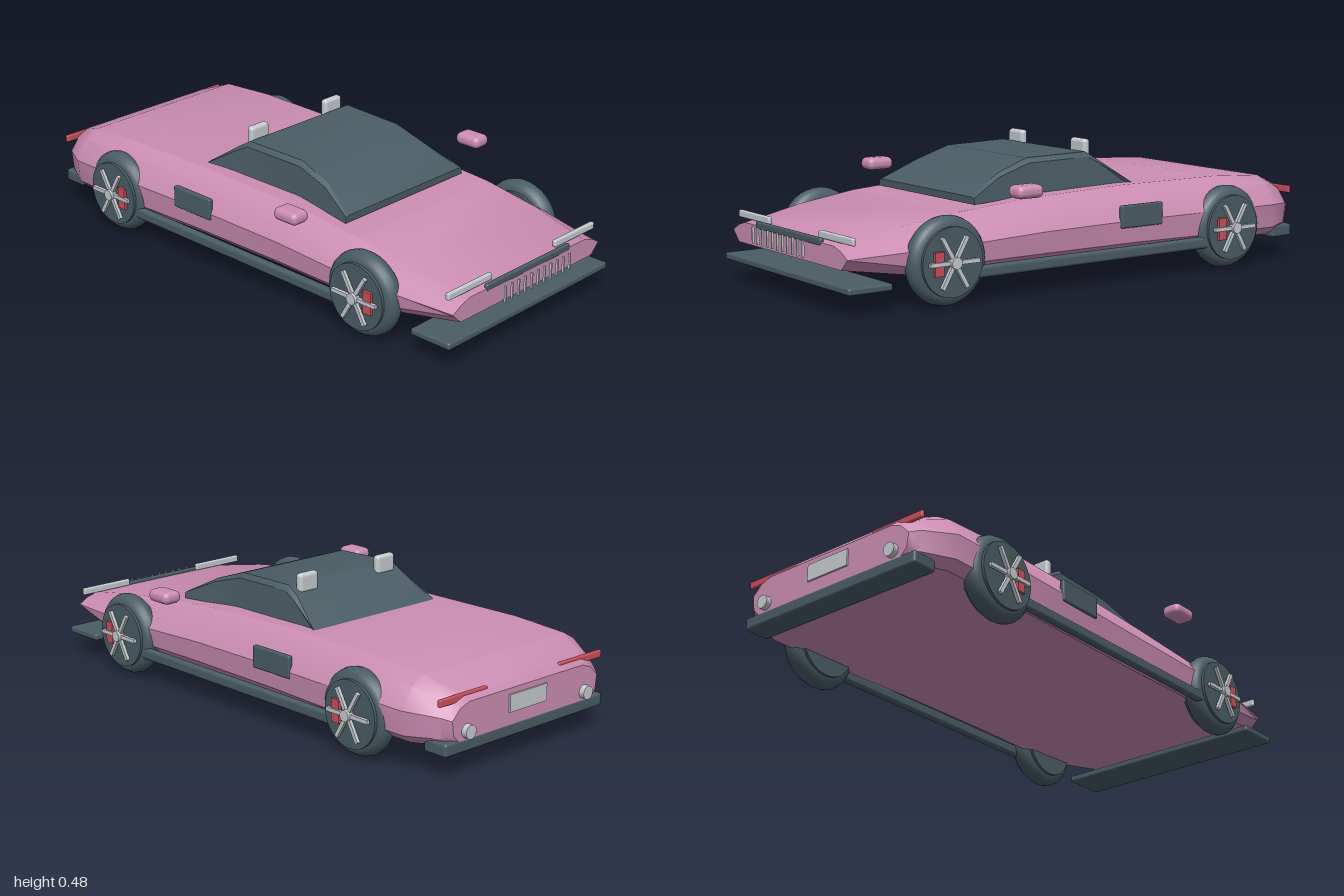
import * as THREE from 'three';
import { toCreasedNormals } from 'three/addons/utils/BufferGeometryUtils.js';
import { RoundedBoxGeometry } from 'three/addons/geometries/RoundedBoxGeometry.js';

const material = (name, color) => {
  const m = new THREE.MeshStandardMaterial({ color });
  m.name = name;
  return m;
};

// Skin a row of closed cross-sections; each section is { x, half: [[z, y], ...] }
// with the half outline running from the bottom edge up to the top edge.
function loft(sections, crease) {
  const pos = [], idx = [];
  const n = sections[0].half.length * 2;
  for (const { x, half } of sections) {
    const loop = [...half, ...half.map(([z, y]) => [-z, y]).reverse()];
    for (const [z, y] of loop) pos.push(x, y, z);
  }
  for (let i = 0; i < sections.length - 1; i++) {
    for (let j = 0; j < n; j++) {
      const a = i * n + j, b = i * n + (j + 1) % n;
      idx.push(a, a + n, b, b, a + n, b + n);
    }
  }
  const end = (sections.length - 1) * n;
  for (let j = 1; j < n - 1; j++) {
    idx.push(0, j, j + 1, end, end + j + 1, end + j);
  }
  const g = new THREE.BufferGeometry();
  g.setAttribute('position', new THREE.Float32BufferAttribute(pos, 3));
  g.setIndex(idx);
  return toCreasedNormals(g, crease);
}

export function createModel() {
  const pink = material('pink paint', 0xcb8db2);
  const dark = material('dark slate', 0x4a5c64);
  const silver = material('silver', 0xc6cbce);
  const red = material('red', 0xc9505c);

  const car = new THREE.Group();
  car.name = 'car';

  const add = (name, geometry, mat, x = 0, y = 0, z = 0, parent = car) => {
    const mesh = new THREE.Mesh(geometry, mat);
    mesh.name = name;
    mesh.position.set(x, y, z);
    parent.add(mesh);
    return mesh;
  };
  const rounded = (w, h, d, r) => new RoundedBoxGeometry(w, h, d, 3, r);

  // Wedge body: x, top, shoulder, waist and bottom heights, half width
  const bodyRows = [
    [-0.98, 0.25, 0.235, 0.2, 0.12, 0.355],
    [-0.95, 0.28, 0.26, 0.21, 0.108, 0.38],
    [-0.84, 0.32, 0.29, 0.22, 0.105, 0.44],
    [-0.62, 0.333, 0.3, 0.22, 0.105, 0.44],
    [-0.2, 0.333, 0.3, 0.22, 0.11, 0.43],
    [0.2, 0.32, 0.285, 0.215, 0.11, 0.425],
    [0.5, 0.298, 0.262, 0.205, 0.11, 0.43],
    [0.72, 0.268, 0.237, 0.2, 0.117, 0.42],
    [0.955, 0.225, 0.212, 0.19, 0.152, 0.385],
  ];
  add('body', loft(bodyRows.map(([x, top, shoulder, waist, bottom, w]) => ({
    x,
    half: [[w * 0.9, bottom], [w * 0.98, bottom + 0.03], [w, waist], [w * 0.9, shoulder], [w * 0.78, top]],
  })), 0.55), pink);

  // Glass cabin: x, base and top heights, base and top half widths
  const cabinRows = [
    [-0.28, 0.315, 0.332, 0.287, 0.28],
    [-0.15, 0.315, 0.42, 0.283, 0.255],
    [-0.1, 0.315, 0.45, 0.28, 0.25],
    [0.15, 0.315, 0.445, 0.265, 0.242],
    [0.28, 0.313, 0.402, 0.28, 0.25],
    [0.41, 0.31, 0.335, 0.302, 0.285],
  ];
  add('cabin', loft(cabinRows.map(([x, base, top, w, roof]) => ({
    x,
    half: [[w, base], [roof + 0.015, base + (top - base) * 0.87], [roof, top]],
  })), 0.5), dark);

  // Wheels: tyre, rim disc, caliper, hub and six spokes
  const tyre = new THREE.TorusGeometry(0.112, 0.038, 16, 40);
  const disc = new THREE.CylinderGeometry(0.117, 0.117, 0.095, 40).rotateX(Math.PI / 2);
  const hub = new THREE.CylinderGeometry(0.02, 0.02, 0.024, 20).rotateX(Math.PI / 2);
  const spoke = new THREE.BoxGeometry(0.09, 0.014, 0.012).translate(0.052, 0, 0);
  const caliper = new THREE.BoxGeometry(0.035, 0.08, 0.012);
  for (const x of [-0.62, 0.6]) {
    for (const side of [1, -1]) {
      const wheel = new THREE.Group();
      wheel.name = (x > 0 ? 'front' : 'rear') + (side > 0 ? 'Left' : 'Right') + 'Wheel';
      wheel.position.set(x, 0.157, 0);
      car.add(wheel);
      add('tyre', tyre, dark, 0, 0, side * 0.408, wheel);
      add('rimDisc', disc, dark, 0, 0, side * 0.408, wheel);
      add('caliper', caliper, red, 0.058, 0, side * 0.46, wheel);
      add('hub', hub, silver, 0, 0, side * 0.469, wheel);
      for (let i = 0; i < 6; i++) {
        add('spoke', spoke, silver, 0, 0, side * 0.465, wheel).rotation.z = i * Math.PI / 3;
      }
    }
  }

  // Parts mirrored on both sides
  for (const side of [1, -1]) {
    add('sill', rounded(1.1, 0.042, 0.03, 0.012), dark, 0, 0.11, side * 0.43);
    add('sideVent', rounded(0.185, 0.08, 0.02, 0.006), dark, -0.212, 0.236, side * 0.426);
    add('mirror', rounded(0.105, 0.045, 0.074, 0.02), pink, 0.317, 0.368, side * 0.468);
    add('roofPod', rounded(0.03, 0.07, 0.087, 0.013), silver, -0.125, 0.456, side * 0.187);
    add('headlight', rounded(0.016, 0.026, 0.218, 0.006), silver, 0.927, 0.245, side * 0.276);
    add('tailLight', rounded(0.014, 0.026, 0.22, 0.005), red, -0.957, 0.262, side * 0.285);
    const pipe = new THREE.CylinderGeometry(0.024, 0.024, 0.04, 24).rotateZ(Math.PI / 2);
    add('exhaust', pipe, silver, -0.98, 0.155, side * 0.288);
  }

  // Nose: splitter, grille bar and slim vertical slats
  add('splitter', rounded(0.165, 0.025, 0.842, 0.008), dark, 0.89, 0.094, 0);
  add('grilleBar', rounded(0.016, 0.026, 0.44, 0.007), dark, 0.95, 0.227, 0);
  const slat = new THREE.BoxGeometry(0.008, 0.058, 0.005);
  for (let i = -5; i <= 5; i++) add('grilleSlat', slat, silver, 0.993, 0.202, i * 0.034);

  // Tail: bumper and blank plate
  add('rearBumper', rounded(0.097, 0.046, 0.77, 0.01), dark, -0.933, 0.107, 0);
  add('rearPlate', new THREE.BoxGeometry(0.009, 0.06, 0.18), silver, -0.982, 0.2, 0);

  return car;
}
